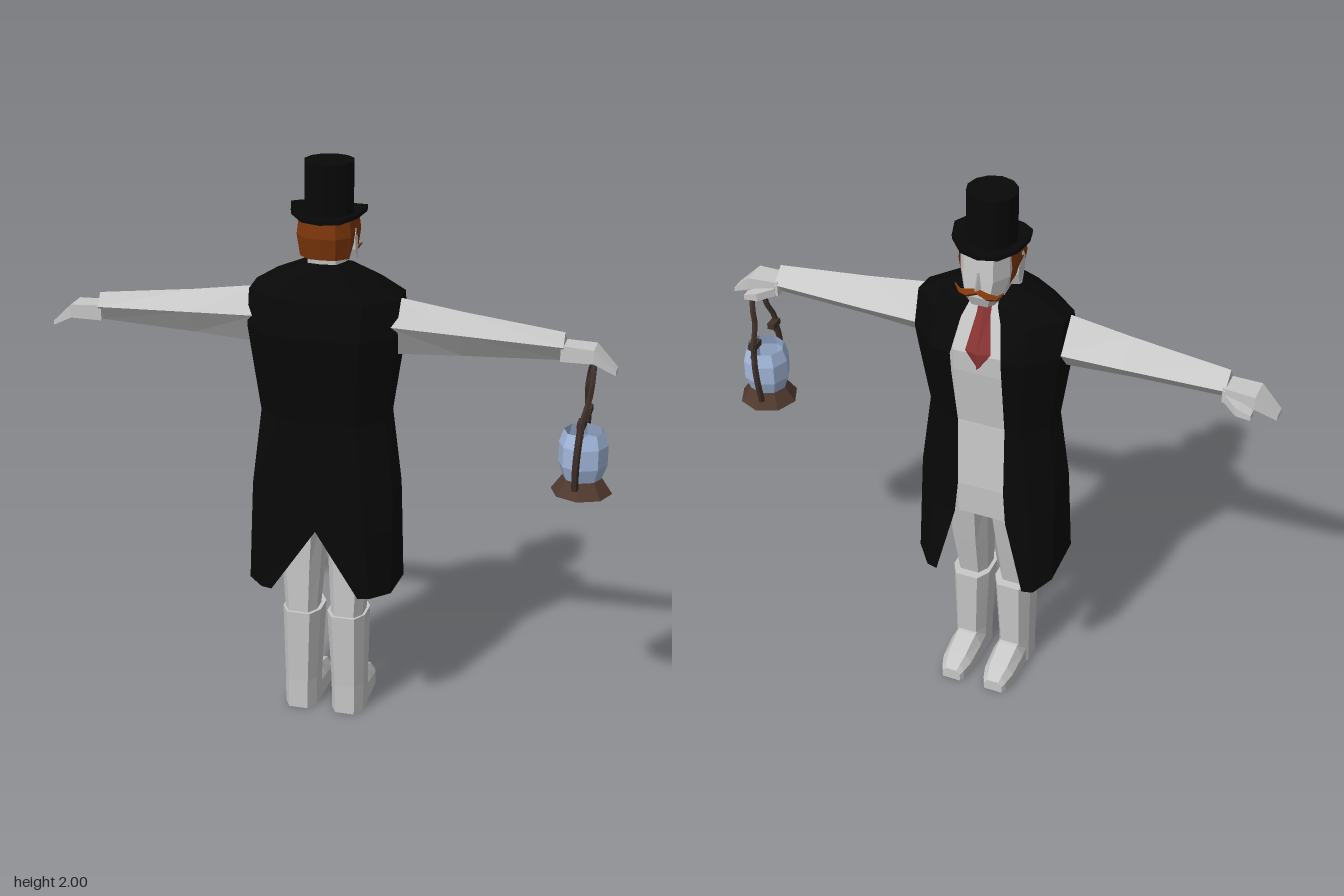
import * as THREE from 'three';

const mat = (name, color, side = THREE.FrontSide) => {
  const m = new THREE.MeshStandardMaterial({ color, side });
  m.name = name;
  return m;
};

// Unshared vertices give every face its own flat normal
function flat(geo) {
  const g = geo.index ? geo.toNonIndexed() : geo;
  g.computeVertexNormals();
  return g;
}

// Skin a list of point rings; closed lofts get end caps and always face outward
function loft(rings, closed = true) {
  const tris = [];
  const n = rings[0].length;
  for (let i = 0; i < rings.length - 1; i++) {
    for (let j = 0; j < (closed ? n : n - 1); j++) {
      const k = (j + 1) % n;
      const [a, b, c, d] = [rings[i][j], rings[i][k], rings[i + 1][k], rings[i + 1][j]];
      tris.push([a, b, c], [a, c, d]);
    }
  }
  if (closed) {
    const last = rings[rings.length - 1];
    for (let j = 1; j < n - 1; j++) {
      tris.push([rings[0][0], rings[0][j + 1], rings[0][j]], [last[0], last[j], last[j + 1]]);
    }
    let volume = 0;
    for (const t of tris) {
      const [a, b, c] = t.map((p) => new THREE.Vector3(...p));
      volume += a.dot(b.cross(c));
    }
    if (volume < 0) tris.forEach((t) => t.reverse());
  }
  const g = new THREE.BufferGeometry();
  g.setAttribute('position', new THREE.Float32BufferAttribute(tris.flat(2), 3));
  return flat(g);
}

// Horizontal eight-sided ring with chamfered corners
function ring(y, cx, rx, zf, zb) {
  const c = (zb - zf) * 0.28, k = rx * 0.6;
  return [[k, zf], [rx, zf + c], [rx, zb - c], [k, zb], [-k, zb], [-rx, zb - c], [-rx, zf + c], [-k, zf]]
    .map(([x, z]) => [cx + x, y, z]);
}

export function createModel() {
  const model = new THREE.Group();
  const grey = mat('pale grey', 0xc8c8c8);
  const black = mat('black cloth', 0x080808, THREE.DoubleSide);
  const ginger = mat('ginger hair', 0x7e370a, THREE.DoubleSide);
  const red = mat('red tie', 0x8a3434);
  const glass = mat('lantern glass', 0xa3b8dc, THREE.DoubleSide);
  const brown = mat('lantern base brown', 0x50392f);
  const iron = mat('dark lantern frame', 0x40302a);
  const add = (name, geo, material, parent = model) => {
    const m = new THREE.Mesh(geo, material);
    m.name = name;
    parent.add(m);
    return m;
  };
  const tube = (pts, r, seg = 10) => flat(new THREE.TubeGeometry(
    new THREE.CatmullRomCurve3(pts.map((p) => new THREE.Vector3(...p))), seg, r, 6));

  // Waistcoat, neck and head
  add('waistcoat', loft([
    ring(0.73, 0, 0.145, -0.104, 0.1), ring(0.86, 0, 0.15, -0.112, 0.1), ring(1.13, 0, 0.15, -0.1, 0.1),
    ring(1.36, 0, 0.15, -0.132, 0.12), ring(1.44, 0, 0.15, -0.136, 0.12),
    ring(1.56, 0, 0.13, -0.088, 0.1), ring(1.62, 0, 0.06, -0.06, 0.06)]), grey);
  add('neck', loft([ring(1.58, 0, 0.06, -0.06, 0.055), ring(1.71, 0, 0.07, -0.07, 0.065)]), grey);
  add('head', loft([
    ring(1.625, 0, 0.045, -0.12, -0.03), ring(1.665, 0, 0.07, -0.136, 0.04),
    ring(1.73, 0, 0.086, -0.132, 0.08), ring(1.82, 0, 0.085, -0.125, 0.08)]), grey);
  add('nose', loft([
    [[-0.016, 1.7, -0.125], [0.016, 1.7, -0.125], [0, 1.7, -0.157]],
    [[-0.007, 1.76, -0.125], [0.007, 1.76, -0.125], [0, 1.76, -0.136]]]), grey);

  // Hair wraps the back of the head, with a notch for each ear and a sideburn
  const hairHalf = [[0, 0.11, 1.685], [0.05, 0.105, 1.685], [0.09, 0.06, 1.685],
    [0.095, 0.015, 1.75], [0.095, -0.03, 1.71], [0.09, -0.07, 1.7]];
  const hairLine = [...hairHalf.slice(1).reverse().map(([x, z, y]) => [-x, z, y]), ...hairHalf];
  add('hair', loft([
    hairLine.map(([x, z, y]) => [x * 0.94, y, z > 0 ? z * 0.85 : z]),
    hairLine.map(([x, z]) => [x * 1.04, 1.76, z]),
    hairLine.map(([x, z]) => [x * 0.96, 1.82, z * 0.95])], false), ginger);

  // Top hat: one turned profile, brim curled up at the sides
  const hat = new THREE.LatheGeometry([[0, 1.805], [0.09, 1.805], [0.13, 1.81], [0.132, 1.825],
    [0.084, 1.825], [0.085, 2], [0, 2]].map((p) => new THREE.Vector2(...p)), 12);
  const hp = hat.attributes.position;
  for (let i = 0; i < hp.count; i++) {
    if (Math.hypot(hp.getX(i), hp.getZ(i)) > 0.12) {
      hp.setY(i, hp.getY(i) + 0.025 * (hp.getX(i) / 0.13) ** 4);
    }
  }
  add('topHat', flat(hat), black).position.z = -0.01;

  // Tie: knot and blade, tucked behind the coat fronts
  const tieRow = (y, w, z) => [[-w, y, z + 0.004], [0, y, z - 0.01], [w, y, z + 0.004], [0, y, z + 0.02]];
  add('tie', loft([tieRow(1.64, 0.045, -0.065), tieRow(1.605, 0.024, -0.075), tieRow(1.575, 0.024, -0.088),
    tieRow(1.45, 0.045, -0.141), tieRow(1.39, 0.005, -0.14)]), red);

  // Coat levels: back y, front y, half width, back z, front z, slit x, opening x, corner depth, corner x ratio
  const coatLevels = [
    [1.67, 1.64, 0.07, 0.09, -0.06, 0, 0.045, 0.06, 0.7], [1.61, 1.61, 0.18, 0.14, -0.085, 0, 0.05, 0.085, 0.6],
    [1.56, 1.56, 0.26, 0.165, -0.11, 0, 0.07, 0.1, 0.6], [1.44, 1.44, 0.26, 0.205, -0.16, 0, 0.09, 0.115, 0.6],
    [1.36, 1.36, 0.25, 0.195, -0.15, 0, 0.09, 0.11, 0.6], [1.13, 1.13, 0.22, 0.16, -0.11, 0, 0.085, 0.09, 0.6],
    [0.86, 0.86, 0.25, 0.17, -0.12, 0, 0.085, 0.085, 0.65], [0.74, 0.74, 0.252, 0.177, -0.126, 0, 0.095, 0.082, 0.68],
    [0.51, 0.46, 0.255, 0.19, -0.14, 0.155, 0.165, 0.075, 0.76]];

  for (const s of [1, -1]) {
    const side = s > 0 ? 'left' : 'right';
    const flip = (r) => r.map(([x, y, z]) => [s * x, y, z]);

    add(side + 'CoatHalf', loft(coatLevels.map(([yb, yf, w, zb, zf, bx, ox, c, k]) => flip([
      [bx, yb, zb], [w * k, yb, zb - c * 0.13], [w, yb, zb - c],
      [w, (yb + yf) / 2 + 0.01, zf + c * 0.85], [w * k + 0.01, yf, zf + c * 0.12], [ox, yf, zf]])), false), black);

    // Sleeve: diamond section tapering to the cuff
    add(side + 'Sleeve', loft([
      [0.23, 1.565, 0.035, 1.475, 0.1, 1.36, 0.03, 1.455, -0.058],
      [0.47, 1.53, 0.035, 1.465, 0.092, 1.375, 0.03, 1.45, -0.046],
      [0.81, 1.49, 0.035, 1.445, 0.065, 1.39, 0.025, 1.44, -0.02]]
      .map((r) => flip([1, 3, 5, 7].map((i) => [r[0], r[i], r[i + 1]])))), grey);

    // Drooping hand with thumb
    const slab = (x, yt, yb, z0, z1) => flip([[x, yt, z0], [x, yt, z1], [x, yb, z1], [x, yb, z0]]);
    add(side + 'Hand', loft([slab(0.8, 1.45, 1.395, -0.018, 0.06), slab(0.91, 1.445, 1.398, -0.022, 0.066),
      slab(0.983, 1.375, 1.36, 0, 0.05)]), grey);
    add(side + 'Thumb', loft([slab(0.81, 1.425, 1.395, -0.02, 0.02), slab(0.86, 1.415, 1.385, -0.06, -0.01),
      slab(0.91, 1.4, 1.382, -0.062, -0.03)]), grey);

    // Ear and moustache half
    const earRow = (y, z0, z1) => flip([[0.07, y, z0], [0.096, y, z0 + 0.012], [0.099, y, z1], [0.07, y, z1]]);
    add(side + 'Ear', loft([earRow(1.665, -0.02, 0.002), earRow(1.71, -0.035, 0.025),
      earRow(1.755, -0.025, 0.03), earRow(1.78, -0.005, 0.015)]), grey);
    const whisker = (x, y, z, r) => flip([[x, y + r, z], [x, y, z - r], [x, y - r, z], [x, y, z + r]]);
    add(side + 'Moustache', loft([whisker(0, 1.69, -0.137, 0.012), whisker(0.035, 1.677, -0.137, 0.015),
      whisker(0.065, 1.673, -0.128, 0.01), whisker(0.085, 1.693, -0.12, 0.003)]), ginger);

    // Trouser leg, boot shaft and foot
    add(side + 'TrouserLeg', loft([ring(0.79, s * 0.076, 0.074, -0.107, 0.1),
      ring(0.56, s * 0.085, 0.07, -0.065, 0.1), ring(0.36, s * 0.083, 0.056, -0.024, 0.102)]), grey);
    add(side + 'BootShaft', loft([ring(0.387, s * 0.081, 0.069, -0.062, 0.112),
      ring(0.11, s * 0.086, 0.059, -0.05, 0.1), ring(0, s * 0.086, 0.058, -0.05, 0.1)]), grey);
    const footRow = (z, w, h) => [[-w, 0], [-w, h * 0.6], [-w * 0.6, h], [w * 0.6, h], [w, h * 0.6], [w, 0]]
      .map(([x, y]) => [s * 0.083 + x, y, z]);
    add(side + 'Foot', loft([footRow(0, 0.055, 0.11), footRow(-0.06, 0.058, 0.105),
      footRow(-0.15, 0.055, 0.078), footRow(-0.19, 0.044, 0.062), footRow(-0.208, 0.034, 0.045)]), grey);
  }

  // Lantern hanging from the left hand
  const lantern = new THREE.Group();
  lantern.name = 'lantern';
  lantern.position.set(0.885, 0, 0.013);
  model.add(lantern);
  const turned = (pts) => flat(new THREE.LatheGeometry(pts.map((p) => new THREE.Vector2(...p)), 8));
  add('lanternBase', turned([[0, 0.928], [0.104, 0.928], [0.068, 0.98], [0, 0.98]]), brown, lantern);
  add('lanternGlass', turned([[0.064, 0.975], [0.083, 1.03], [0.083, 1.1], [0.068, 1.147]]), glass, lantern);
  for (const s of [1, -1]) {
    add('lanternPost', tube([[-0.012, 0.96, s * 0.078], [-0.01, 1.05, s * 0.094], [-0.005, 1.13, s * 0.094],
      [0, 1.2, s * 0.08]], 0.012), iron, lantern);
    add('lanternHook', new THREE.BoxGeometry(0.026, 0.022, 0.05), iron, lantern).position.set(0, 1.195, s * 0.072);
  }
  // Bail whose two arms sway slightly apart
  const arm = (s) => [[0, 1.15, 0.09], [s * 0.006, 1.22, 0.088], [0.008 + s * 0.012, 1.28, 0.066],
    [0.014 + s * 0.012, 1.33, 0.062], [0.02 + s * 0.006, 1.38, 0.036]].map(([x, y, z]) => [x, y, s * z]);
  add('lanternHandle', tube([...arm(1), [0.022, 1.402, 0], ...arm(-1).reverse()], 0.01, 28), iron, lantern);

  return model;
}
